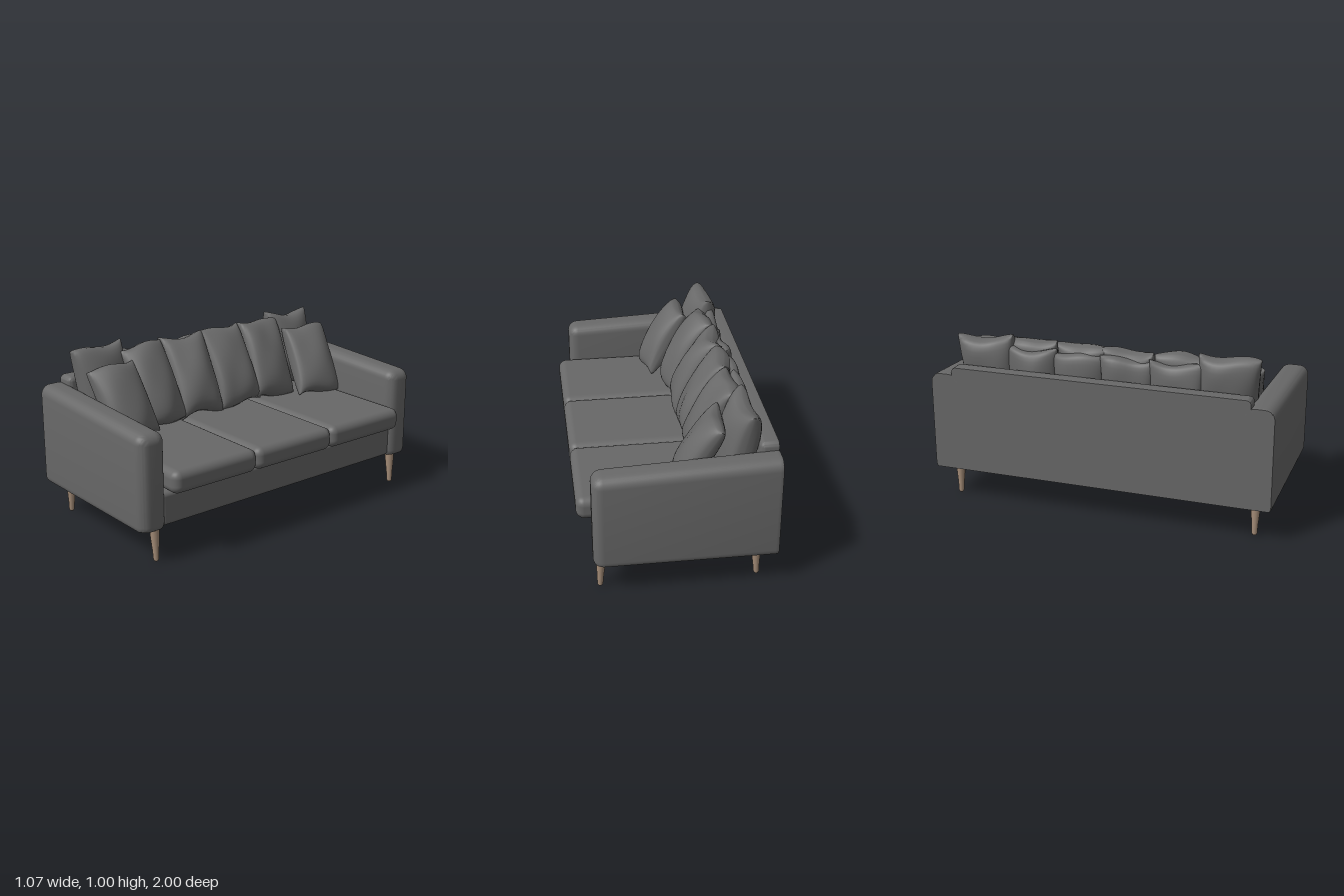
import * as THREE from 'three';
import { RoundedBoxGeometry } from 'three/addons/geometries/RoundedBoxGeometry.js';
import { mergeVertices, toCreasedNormals } from 'three/addons/utils/BufferGeometryUtils.js';

const fabric = new THREE.MeshStandardMaterial({ color: 0x686868 });
fabric.name = 'greyFabric';
const wood = new THREE.MeshStandardMaterial({ color: 0xa58d78 });
wood.name = 'paleWood';

function addMesh(parent, name, geometry, material) {
  const mesh = new THREE.Mesh(geometry, material);
  mesh.name = name;
  parent.add(mesh);
  return mesh;
}

// Apply a rule to each vertex of a geometry
function warp(geometry, rule) {
  const p = geometry.attributes.position;
  const v = new THREE.Vector3();
  for (let i = 0; i < p.count; i++) {
    v.fromBufferAttribute(p, i);
    rule(v);
    p.setXYZ(i, v.x, v.y, v.z);
  }
  return geometry;
}

// Rounded block given by its limits on each axis
function block([x0, x1], [y0, y1], [z0, z1], radius) {
  const g = new RoundedBoxGeometry(x1 - x0, y1 - y0, z1 - z0, 5, radius);
  return g.translate((x0 + x1) / 2, (y0 + y1) / 2, (z0 + z1) / 2);
}

// Soft pillow: thin at the seams, plump in the middle, facing +x
function pillow(width, height, thickness, seed) {
  const g = new THREE.BoxGeometry(2, 2, 2, 1, 18, 18);
  g.deleteAttribute('uv');
  g.deleteAttribute('normal');
  warp(g, (p) => {
    const v = Math.sin(p.y * Math.PI / 2);
    const u = Math.sin(p.z * Math.PI / 2);
    const swell = Math.pow(Math.max(0, (1 - u * u) * (1 - v * v)), 0.36);
    const lump = 1 + 0.07 * Math.sin(4 * u + seed) * Math.cos(3 * v + seed * 2);
    const wave = 0.012 * Math.sin(3 * u + seed * 1.7) * v;
    p.set(
      Math.sign(p.x) * (thickness / 2) * (swell * lump + 0.04) + 0.01 * Math.sin(2.5 * u + seed),
      (height / 2) * v * (1 - 0.05 * (1 - u * u)) + wave,
      (width / 2) * u * (1 - 0.06 * (1 - v * v)),
    );
  });
  const merged = mergeVertices(g, 1e-5);
  merged.computeVertexNormals();
  return merged;
}

export function createModel() {
  const sofa = new THREE.Group();
  sofa.name = 'sofa';

  // Frame: base and backrest
  addMesh(sofa, 'base', block([-0.53, 0.435], [0.19, 0.38], [-0.86, 0.86], 0.025), fabric);
  const back = warp(block([-0.56, -0.44], [0.17, 0.81], [-0.87, 0.87], 0.03), (p) => {
    p.x = Math.max(p.x, -0.54);
    p.y = Math.max(p.y, 0.19);
  });
  addMesh(sofa, 'backrest', toCreasedNormals(back, 0.6), fabric);

  // Arms: rounded above, square at the floor and rear, sloping to the front
  for (const side of [-1, 1]) {
    const z = side > 0 ? [0.832, 1] : [-1, -0.832];
    const arm = warp(block([-0.58, 0.455], [0.16, 0.77], z, 0.06), (p) => {
      p.x = Math.max(p.x, -0.54);
      p.y = Math.max(p.y, 0.19);
      p.y -= 0.045 * (p.x + 0.54) * (p.y - 0.19) / 0.58;
    });
    addMesh(sofa, side > 0 ? 'leftArm' : 'rightArm', toCreasedNormals(arm, 0.6), fabric);
  }

  // Seat cushions with a slight crown
  for (let i = -1; i <= 1; i++) {
    const c = i * 0.557;
    const seat = warp(block([-0.44, 0.53], [0.388, 0.518], [c - 0.284, c + 0.284], 0.045), (p) => {
      if (p.x > 0.5) p.z = c + (p.z - c) * 0.985;
    });
    addMesh(sofa, 'seatCushion', seat, fabric);
  }

  // Back pillows: z, x, y, lean, width, height, thickness, roll
  const pillows = [
    [0.7, -0.345, 0.745, 0.2, 0.34, 0.5, 0.19, 0.06],
    [0.425, -0.25, 0.735, 0.48, 0.3, 0.5, 0.19, 0.06],
    [0.142, -0.26, 0.735, 0.48, 0.3, 0.49, 0.2, -0.02],
    [-0.142, -0.26, 0.74, 0.48, 0.3, 0.5, 0.2, 0.03],
    [-0.425, -0.25, 0.74, 0.48, 0.3, 0.5, 0.19, -0.06],
    [-0.7, -0.345, 0.735, 0.2, 0.34, 0.48, 0.19, -0.05],
    [0.7, -0.135, 0.71, 0.52, 0.31, 0.45, 0.16, 0.08],
    [-0.71, -0.135, 0.71, 0.52, 0.31, 0.45, 0.16, -0.08],
  ];
  // Hidden rear row filling the gap against the backrest
  for (const z of [-0.425, -0.142, 0.142, 0.425]) {
    pillows.push([z, -0.385, 0.72, 0.1, 0.31, 0.42, 0.13, 0]);
  }
  pillows.forEach(([z, x, y, lean, w, h, t, roll], i) => {
    const g = pillow(w, h, t, i * 1.3).rotateX(roll).rotateZ(lean);
    addMesh(sofa, i === 6 || i === 7 ? 'scatterPillow' : 'backPillow', g.translate(x, y, z), fabric);
  });

  // Tapered legs with short mounting brackets
  const profile = [[0, 0], [0.011, 0.002], [0.016, 0.012], [0.018, 0.06], [0.026, 0.15], [0.028, 0.195]]
    .map(([r, y]) => new THREE.Vector2(r, y));
  for (const front of [-1, 1]) {
    for (const side of [-1, 1]) {
      const leg = new THREE.Group();
      leg.name = (front > 0 ? 'front' : 'back') + (side > 0 ? 'Left' : 'Right') + 'Leg';
      leg.position.set(front > 0 ? 0.418 : -0.444, 0, side * 0.893);
      const shaft = warp(new THREE.LatheGeometry(profile, 16), (p) => {
        p.x -= front * 0.05 * p.y;
      });
      shaft.computeVertexNormals();
      addMesh(leg, 'legShaft', shaft, wood);
      const bracket = new THREE.BoxGeometry(0.08, 0.016, 0.022);
      bracket.translate(-front * 0.045, 0.183, 0);
      addMesh(leg, 'legBracket', bracket, wood).rotation.y = front * side * -0.5;
      sofa.add(leg);
    }
  }
  return sofa;
}
